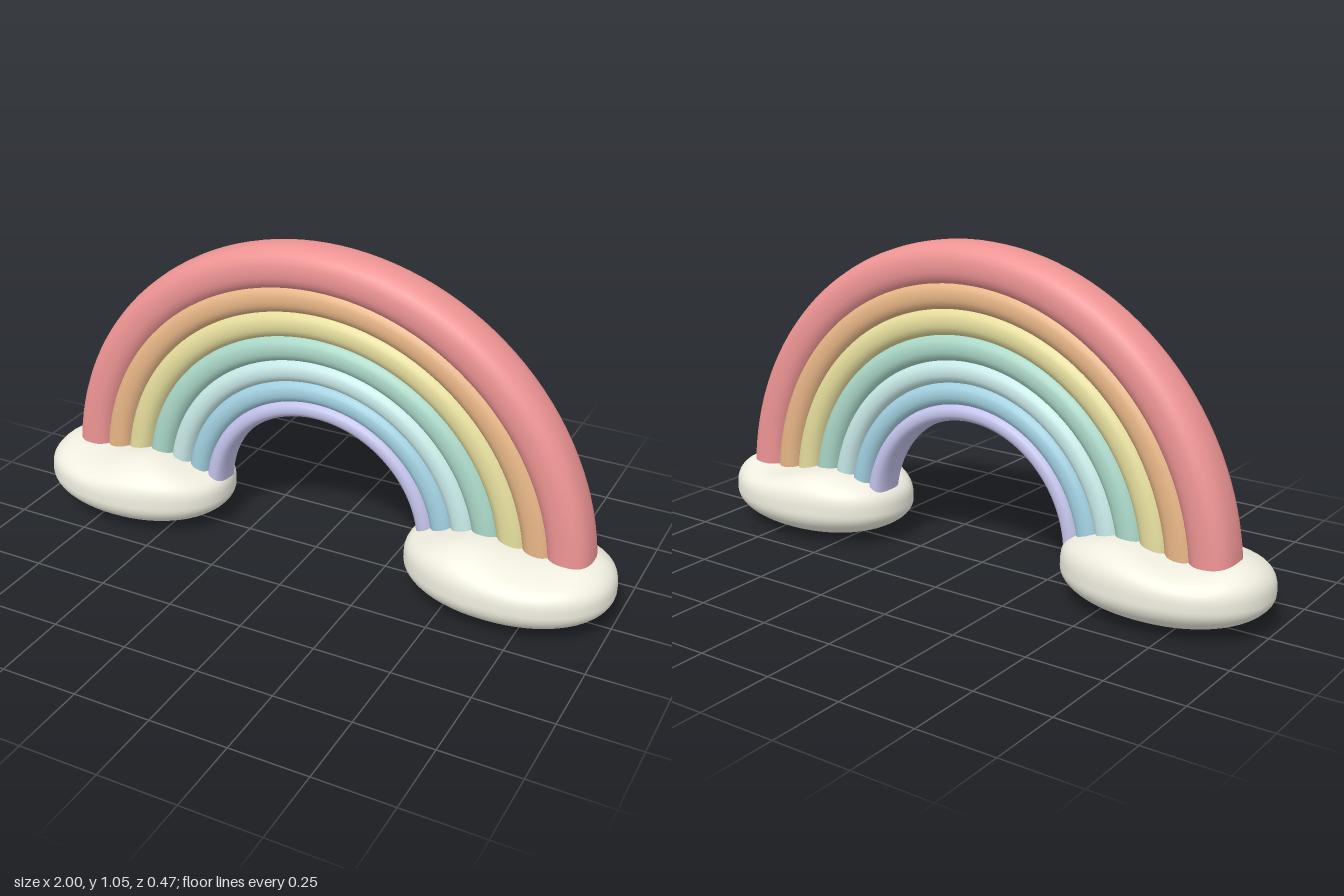
import * as THREE from 'three';
import { mergeVertices } from 'three/addons/utils/BufferGeometryUtils.js';

const CENTRE = new THREE.Vector3(0.01, 0.13, -0.02);

// name, colour, inner radius, outer radius, half depth
const BANDS = [
  ['redBand', 0xee9494, 0.775, 0.918, 0.083],
  ['orangeBand', 0xe6b586, 0.70, 0.808, 0.075],
  ['yellowBand', 0xe4dc9c, 0.62, 0.722, 0.073],
  ['greenBand', 0xa9d6c6, 0.54, 0.638, 0.071],
  ['paleBlueBand', 0xc6e8e6, 0.47, 0.556, 0.068],
  ['blueBand', 0xa0cede, 0.40, 0.484, 0.065],
  ['violetBand', 0xc2c2ea, 0.35, 0.414, 0.062],
];

// signed power, used to round off squares
const spow = (v, e) => Math.sign(v) * Math.abs(v) ** e;

// half ring with a softly squared section
function bandGeometry(inner, outer, depth) {
  const mid = (inner + outer) / 2, half = (outer - inner) / 2;
  const profile = [];
  for (let i = 0; i <= 28; i++) {
    const a = -Math.PI + (i / 28) * Math.PI * 2;
    profile.push(new THREE.Vector2(mid + half * spow(Math.cos(a), 0.85), depth * spow(Math.sin(a), 0.8)));
  }
  const g = new THREE.LatheGeometry(profile, 64, Math.PI / 2, Math.PI);
  return g.rotateX(Math.PI / 2);
}

// flattened puff: bowl-shaped below, fuller and lumpy on top
function cloudGeometry(side) {
  const g = new THREE.SphereGeometry(1, 56, 40);
  g.deleteAttribute('uv');
  g.deleteAttribute('normal');
  const p = g.attributes.position;
  for (let i = 0; i < p.count; i++) {
    const s = p.getY(i), r = Math.sqrt(Math.max(0, 1 - s * s));
    const a = Math.atan2(p.getZ(i), p.getX(i));
    const e = s > 0 ? 0.62 : 0.95;
    const spread = r ** e;
    const u = spread * spow(Math.cos(a), 0.95); // outward
    const w = spread * spow(Math.sin(a), 0.95); // forward
    let y = 0.118 + 0.113 * spow(s, e);
    if (s > 0) {
      const lift = s ** e;
      y += lift * (0.012 * Math.cos(5.5 * (u + 0.28)) * Math.cos(1.2 * w)
        + 0.006 * Math.sin(4.5 * w + 3 * u) - 0.012 * u);
    }
    p.setXYZ(i, 0.335 * u, y, 0.237 * w);
  }
  const smooth = mergeVertices(g, 1e-5);
  if (side < 0) {
    // mirror and turn the faces back outward
    smooth.scale(-1, 1, 1);
    const idx = smooth.index;
    for (let i = 0; i < idx.count; i += 3) {
      const t = idx.getX(i);
      idx.setX(i, idx.getX(i + 1));
      idx.setX(i + 1, t);
    }
  }
  smooth.computeVertexNormals();
  return smooth;
}

export function createModel() {
  const model = new THREE.Group();
  model.name = 'rainbow';

  // nested coloured arches
  const arch = new THREE.Group();
  arch.name = 'arch';
  arch.position.copy(CENTRE);
  for (const [name, color, inner, outer, depth] of BANDS) {
    const material = new THREE.MeshStandardMaterial({ color, side: THREE.DoubleSide });
    const band = new THREE.Mesh(bandGeometry(inner, outer, depth), material);
    band.name = name;
    arch.add(band);
  }
  model.add(arch);

  // a cloud under each foot
  const cloudMaterial = new THREE.MeshStandardMaterial({ color: 0xf0eee0 });
  for (const side of [1, -1]) {
    const cloud = new THREE.Mesh(cloudGeometry(side), cloudMaterial);
    cloud.name = side > 0 ? 'leftCloud' : 'rightCloud';
    cloud.position.set(0.665 * side, -0.005, 0);
    model.add(cloud);
  }
  return model;
}
